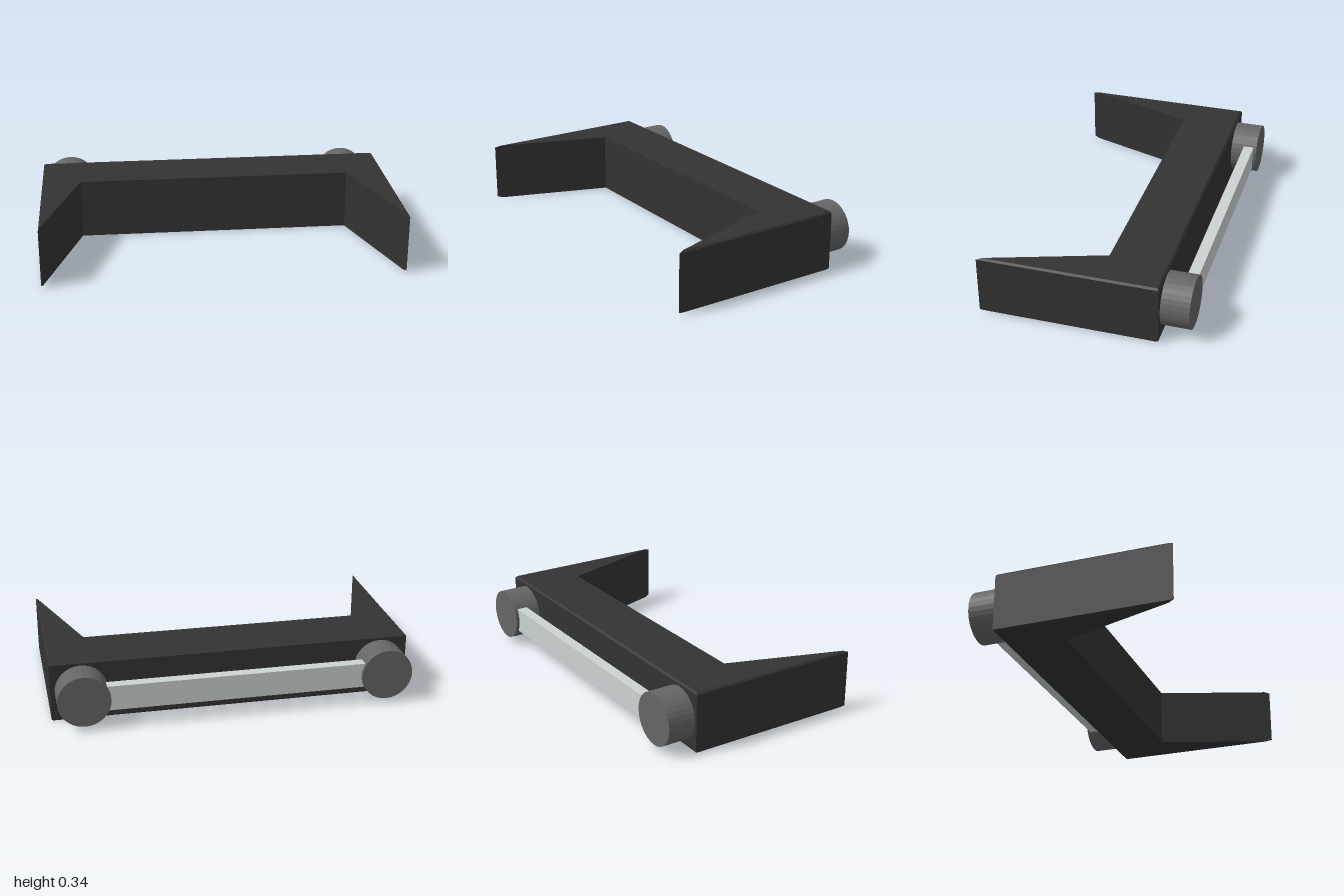
import * as THREE from 'three';

const HEIGHT = 0.34, BEVEL = 0.01, BACK = -0.415;

function part(name, geometry, color, flatShading = false) {
  const mesh = new THREE.Mesh(geometry, new THREE.MeshStandardMaterial({ color, flatShading }));
  mesh.name = name;
  return mesh;
}

// U-shaped body with tapering arms; only the outer sides and back edge are chamfered
function bodyGeometry() {
  const outline = [[-1, 0.57], [-1, BACK], [1, BACK], [1, 0.57], [0.78, -0.09], [-0.78, -0.09]];
  const shape = new THREE.Shape(outline.map(([x, z]) => new THREE.Vector2(x, -z)));
  const geometry = new THREE.ExtrudeGeometry(shape, { depth: 3, steps: 3, bevelEnabled: false });
  geometry.rotateX(-Math.PI / 2);
  const levels = [0, BEVEL, HEIGHT - BEVEL, HEIGHT];
  const p = geometry.attributes.position;
  for (let i = 0; i < p.count; i++) {
    const level = Math.round(p.getY(i));
    let x = p.getX(i), z = p.getZ(i);
    if ((level === 0 || level === 3) && Math.abs(x) > 0.99) {
      x -= Math.sign(x) * BEVEL;
      z += z > 0 ? -3 * BEVEL : BEVEL;
    }
    p.setXYZ(i, x, levels[level], z);
  }
  geometry.computeVertexNormals();
  return geometry;
}

export function createModel() {
  const group = new THREE.Group();
  group.add(part('body', bodyGeometry(), 0x333333));

  // Round mounts on the back face
  for (const [name, x] of [['leftMount', 0.832], ['rightMount', -0.845]]) {
    const mount = part(name, new THREE.CylinderGeometry(0.144, 0.144, 0.16, 32), 0x666666, true);
    mount.rotation.x = Math.PI / 2;
    mount.position.set(x, 0.174, -0.49);
    group.add(mount);
  }

  // Bar joining the mounts
  const bar = part('crossBar', new THREE.BoxGeometry(1.5, 0.14, 0.06), 0xccd2d2);
  bar.position.set(-0.007, 0.174, -0.521);
  group.add(bar);
  return group;
}
